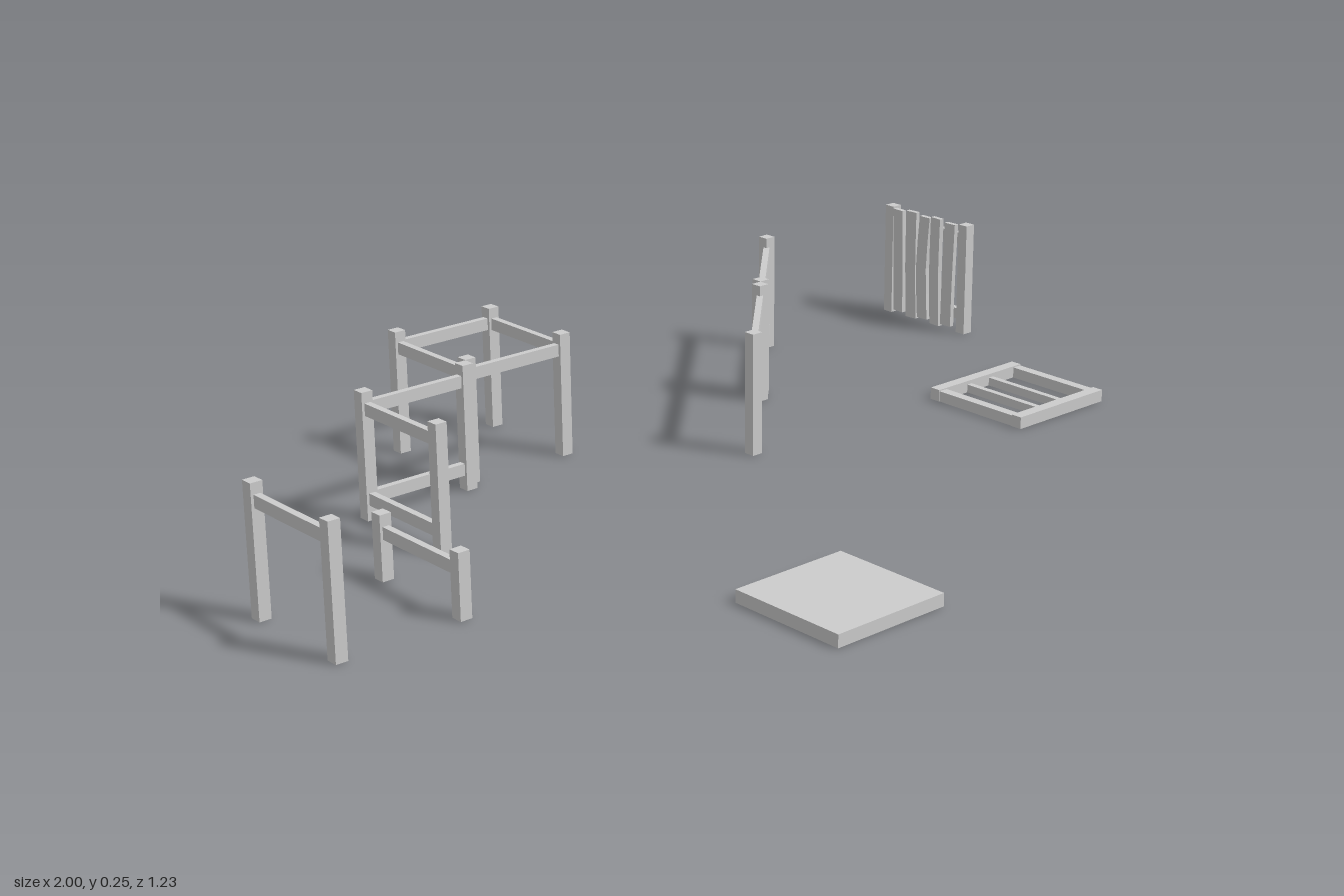
import * as THREE from 'three';

const U = 0.246;     // module pitch
const H = 0.245;     // full post height
const POST = 0.0235; // post side
const R = 0.111;     // post offset from a module's centre
const RAIL_H = 0.0235, RAIL_T = 0.013;
const TOP = 0.2125, LOW = 0.041;

const material = new THREE.MeshStandardMaterial({ color: 0xcccccc, flatShading: true, side: THREE.DoubleSide });

function box(parent, name, w, h, d, x, y, z) {
  const mesh = new THREE.Mesh(new THREE.BoxGeometry(w, h, d), material);
  mesh.name = name;
  mesh.position.set(x, y, z);
  parent.add(mesh);
  return mesh;
}

// Posts at [x, z] points, and rails joining pairs of them at the given heights
function fence(parent, name, x, z, points, pairs, heights, postHeight = H) {
  const group = new THREE.Group();
  group.name = name;
  group.position.set(x, 0, z);
  parent.add(group);
  for (const [px, pz] of points) box(group, 'post', POST, postHeight, POST, px, postHeight / 2, pz);
  for (const [i, j] of pairs) {
    const [ax, az] = points[i], [bx, bz] = points[j];
    const length = Math.hypot(bx - ax, bz - az) - POST * 0.9;
    for (const y of heights) {
      const rail = box(group, 'rail', length, RAIL_H, RAIL_T, (ax + bx) / 2, y, (az + bz) / 2);
      rail.rotation.y = -Math.atan2(bz - az, bx - ax);
    }
  }
  return group;
}

// Crooked plank: z offset at bottom, middle and top
function picket(parent, x, z, bottom, top, offsets, twist) {
  const w = 0.0145, t = 0.011;
  const geometry = new THREE.BoxGeometry(t, top - bottom, w * 2, 1, 4, 1);
  const p = geometry.attributes.position;
  const curve = new THREE.CatmullRomCurve3(offsets.map((o, i) => new THREE.Vector3(o, i, 0)));
  for (let i = 0; i < p.count; i++) {
    const f = p.getY(i) / (top - bottom) + 0.5;
    p.setZ(i, p.getZ(i) + curve.getPoint(Math.min(1, Math.max(0, f))).x);
  }
  geometry.computeVertexNormals();
  const mesh = new THREE.Mesh(geometry, material);
  mesh.name = 'picket';
  mesh.position.set(x, (bottom + top) / 2, z);
  mesh.rotation.y = twist;
  parent.add(mesh);
}

export function createModel() {
  const model = new THREE.Group();
  model.name = 'fenceKit';
  const side = [[0, -R], [0, R]];
  const diagonal = [[-R, R], [R, -R]];

  // Straight rails, full and half height
  fence(model, 'tallRailing', -0.988, 0, side, [[0, 1]], [TOP]);
  fence(model, 'lowRailing', -0.743, 0, side, [[0, 1]], [0.0885], H / 2);

  // Corner with double rails
  fence(model, 'cornerFence', -2 * U, -U, [[-R, R], [-R, -R], [R, -R]], [[0, 1], [1, 2]], [TOP, LOW]);

  // Four posts with top rails all round
  fence(model, 'squareFrame', -U, -2 * U, [[-R, R], [-R, -R], [R, -R], [R, R]],
    [[0, 1], [1, 2], [2, 3], [3, 0]], [TOP]);

  // Diagonal rails
  fence(model, 'diagonalRailing', U, -U, diagonal, [[0, 1]], [TOP]);
  fence(model, 'diagonalFence', 2 * U, -2 * U, diagonal, [[0, 1]], [TOP, LOW]);

  // Picket fence with crooked planks on its inner face
  const pickets = fence(model, 'picketFence', 0.988, -2 * U, side, [[0, 1]], [TOP, LOW]);
  const planks = [
    [0.075, 0.010, 0.243, [-0.003, -0.001, 0.003], 0.05],
    [0.037, 0.004, 0.247, [0.002, -0.003, -0.001], -0.06],
    [-0.001, 0.010, 0.243, [0.002, -0.004, 0.004], 0.03],
    [-0.037, 0.004, 0.247, [0.003, -0.001, -0.001], 0.07],
    [-0.076, 0.010, 0.243, [0.003, 0.001, -0.003], -0.05],
  ];
  for (const [z, bottom, top, offsets, twist] of planks) picket(pickets, -0.0125, z, bottom, top, offsets, twist);

  // Open floor frame with two inner joists
  const floorFrame = new THREE.Group();
  floorFrame.name = 'floorFrame';
  floorFrame.position.x = 3 * U;
  model.add(floorFrame);
  for (const s of [-1, 1]) {
    box(floorFrame, 'endBeam', U, 0.0245, POST, 0, 0.01225, s * R);
    box(floorFrame, 'sideBeam', 0.0205, 0.022, 2 * R - POST, s * 0.1115, 0.011, 0);
    box(floorFrame, 'joist', 0.013, 0.017, 2 * R - POST, s * 0.0325, 0.0085, 0);
  }

  // Solid floor panel
  box(model, 'floorPanel', U, 0.0245, U, -U, 0.01225, 2 * U);
  return model;
}
